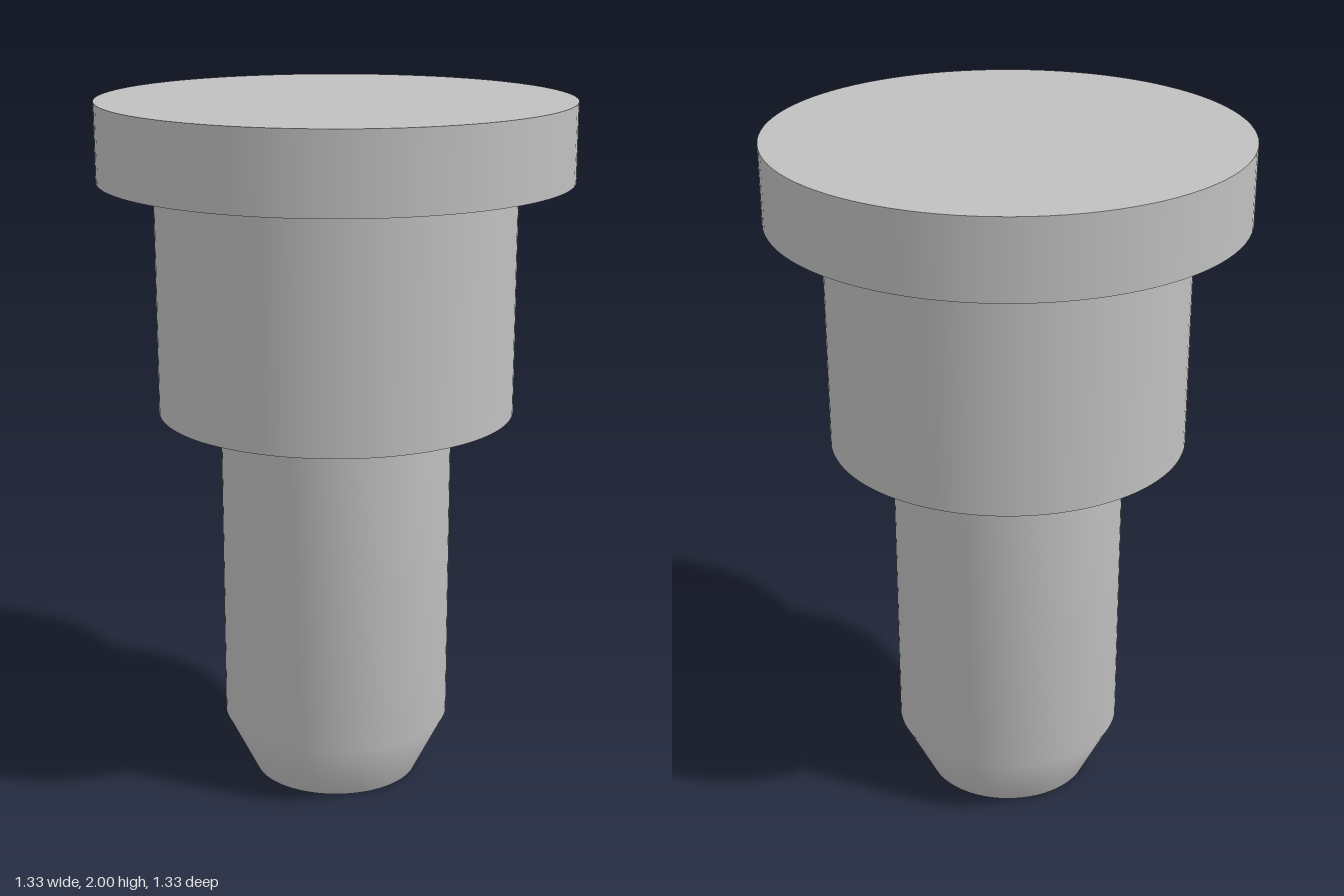
import * as THREE from 'three';
import { mergeGeometries } from 'three/addons/utils/BufferGeometryUtils.js';

const SEGMENTS = 96;

// Revolves each [radius, height] run separately, so edges between runs stay sharp
function turned(name, material, runs) {
  const pieces = runs.map((run) =>
    new THREE.LatheGeometry(run.map(([r, y]) => new THREE.Vector2(r, y)), SEGMENTS));
  const mesh = new THREE.Mesh(mergeGeometries(pieces), material);
  mesh.name = name;
  return mesh;
}

export function createModel() {
  const group = new THREE.Group();
  group.name = 'steppedPin';
  const steel = new THREE.MeshStandardMaterial({ color: 0xc0c0c0 });
  steel.name = 'grey steel';

  const tip = 0.243, shaft = 0.333, collar = 0.51, head = 0.667;
  const taperTop = 0.18, collarBase = 1.115, headBase = 1.78, top = 2;

  // Shaft with a softly shaded tapered tip
  group.add(turned('shaft', steel, [
    [[0, 0], [tip, 0]],
    [[tip, 0], [shaft, taperTop], [shaft, collarBase]],
  ]));

  // Wider collar with its underside ring
  group.add(turned('collar', steel, [
    [[shaft, collarBase], [collar, collarBase]],
    [[collar, collarBase], [collar, headBase]],
  ]));

  // Flat head with underside ring, rim and top face
  group.add(turned('head', steel, [
    [[collar, headBase], [head, headBase]],
    [[head, headBase], [head, top]],
    [[head, top], [0, top]],
  ]));

  return group;
}
